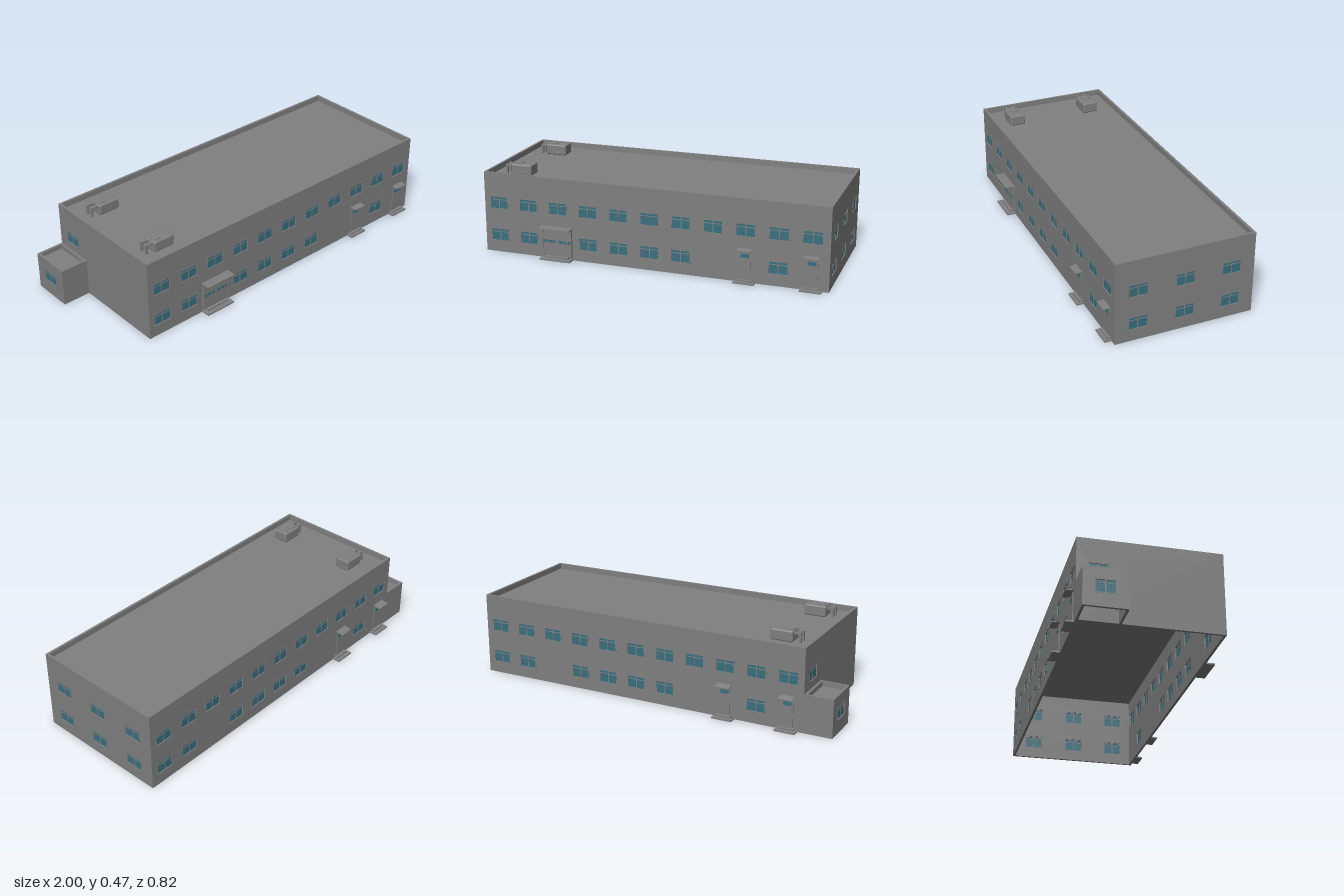
import * as THREE from 'three';
import { RoundedBoxGeometry } from 'three/addons/geometries/RoundedBoxGeometry.js';

const wallMat = new THREE.MeshStandardMaterial({ color: 0x808080, side: THREE.DoubleSide });
wallMat.name = 'wall grey';
const glassMat = new THREE.MeshStandardMaterial({ color: 0x38707f, side: THREE.DoubleSide });
glassMat.name = 'window teal';

const T = 0.013; // wall thickness
const WIN_W = 0.104, WIN_H = 0.073;
const LOW = 0.0945, HIGH = 0.272; // window centre heights

function add(parent, name, geo, mat, x = 0, y = 0, z = 0) {
  const m = new THREE.Mesh(geo, mat);
  m.name = name;
  m.position.set(x, y, z);
  parent.add(m);
  return m;
}
const box = (parent, name, w, h, d, x, y, z, mat = wallMat) =>
  add(parent, name, new THREE.BoxGeometry(w, h, d), mat, x, y, z);

// rectangular path, used for outlines and holes
function rect(path, x0, y0, x1, y1) {
  path.moveTo(x0, y0);
  path.lineTo(x1, y0);
  path.lineTo(x1, y1);
  path.lineTo(x0, y1);
  path.closePath();
  return path;
}
const extrude = (shape, depth) => new THREE.ExtrudeGeometry(shape, { depth, bevelEnabled: false });

// framed window with a mullion and a high transom, set in the wall
function addWindow(parent, x, y) {
  const g = new THREE.Group();
  g.name = 'window';
  g.position.set(x, y, 0);
  parent.add(g);
  const w = WIN_W / 2, h = WIN_H / 2, b = 0.005;
  const s = rect(new THREE.Shape(), -w, -h, w, h);
  s.holes.push(rect(new THREE.Path(), -w + b, -h + b, w - b, h - b));
  add(g, 'windowFrame', extrude(s, 0.010), wallMat, 0, 0, -0.009);
  box(g, 'glass', WIN_W - b, WIN_H - b, 0.002, 0, 0, -0.005, glassMat);
  box(g, 'mullion', 0.005, WIN_H - b, 0.006, 0, 0, -0.005);
  box(g, 'transom', WIN_W - b, 0.004, 0.006, 0, 0.016, -0.005);
}

// wall in its own frame: x along it, y up, outer face at z = 0
function addWall(root, name, x0, x1, height, windows, pos, turn) {
  const g = new THREE.Group();
  g.name = name;
  g.position.set(...pos);
  g.rotation.y = turn;
  root.add(g);
  const s = rect(new THREE.Shape(), x0, 0, x1, height);
  for (const [x, y] of windows) {
    s.holes.push(rect(new THREE.Path(), x - WIN_W / 2, y - WIN_H / 2, x + WIN_W / 2, y + WIN_H / 2));
    addWindow(g, x, y);
  }
  add(g, name + 'Panel', extrude(s, T), wallMat, 0, 0, -T);
  return g;
}

// two low steps in front of a door
function addSteps(g, x, w, reach) {
  box(g, 'lowerStep', w, 0.008, reach, x, 0.004, reach / 2);
  box(g, 'upperStep', w * 0.75, 0.008, reach * 0.5, x, 0.012, reach * 0.25);
}

// service door with sloping canopy
function addDoor(wall, x, reach, slope) {
  const g = new THREE.Group();
  g.name = 'serviceDoor';
  wall.add(g);
  box(g, 'doorLeaf', 0.06, 0.15, 0.005, x, 0.091, 0.0015);
  box(g, 'doorPane', 0.043, 0.02, 0.002, x, 0.14, 0.0045, glassMat);
  const canopy = box(g, 'canopy', 0.075, 0.004, reach, x, 0.174, reach / 2);
  canopy.rotation.x = slope;
  addSteps(g, x, 0.107, reach);
}

// wide entrance with portal, row of panes, canopy and steps
function addEntrance(wall, x) {
  const g = new THREE.Group();
  g.name = 'mainEntrance';
  wall.add(g);
  const w = 0.165;
  box(g, 'entranceDoors', w - 0.01, 0.152, 0.008, x, 0.092, 0.004);
  for (const side of [-1, 1]) {
    box(g, 'portalPost', 0.006, 0.155, 0.012, x + side * (w / 2 - 0.003), 0.0925, 0.006);
  }
  for (let i = 0; i < 6; i++) {
    const off = (i - 2.5) * 0.025 + (i < 3 ? -0.005 : 0.005);
    box(g, 'entrancePane', 0.018, 0.015, 0.002, x + off, 0.095, 0.0085, glassMat);
  }
  box(g, 'entranceCanopy', 0.172, 0.005, 0.053, x, 0.173, 0.0265);
  addSteps(g, x, 0.17, 0.048);
}

// rooftop ventilation unit with fan ring and two ducts
function addVent(root, z, floor) {
  const g = new THREE.Group();
  g.name = 'roofVent';
  g.position.set(-0.676, floor, z);
  root.add(g);
  add(g, 'ventBody', new RoundedBoxGeometry(0.118, 0.058, 0.084, 2, 0.008), wallMat, 0, 0.031, 0);
  add(g, 'fanRing', new THREE.CylinderGeometry(0.027, 0.027, 0.006, 24), wallMat, -0.027, 0.0605, 0);
  for (const s of [-1, 1]) {
    box(g, 'duct', 0.042, 0.01, 0.012, -0.076, 0.047, s * 0.018);
    box(g, 'ductDrop', 0.012, 0.046, 0.012, -0.091, 0.024, s * 0.018);
  }
}

export function createModel() {
  const root = new THREE.Group();
  root.name = 'building';
  const H = 0.435, L = -0.85, R = 1, F = 0.355, B = -0.368, ROOF = 0.405;
  const bay = (i) => -0.767 + i * 0.168;
  const bays = [...Array(11).keys()];
  const ends = [0.237, -0.005, -0.247];

  // long walls with two storeys of windows
  const frontLow = [0, 1, 3, 4, 5, 6, 9];
  const front = addWall(root, 'frontWall', L, R, H,
    [...bays.map((i) => [bay(i), HIGH]), ...frontLow.map((i) => [bay(i), LOW])], [0, 0, F], 0);
  const backLow = [1, 4, 5, 6, 7, 9, 10];
  const back = addWall(root, 'backWall', -R, -L, H,
    [...bays.map((i) => [-bay(i), HIGH]), ...backLow.map((i) => [-bay(i), LOW])], [0, 0, B], Math.PI);

  // end walls
  addWall(root, 'rightWall', -F, -B, H,
    ends.flatMap((z) => [[-z, HIGH], [-z, LOW]]), [R, 0, 0], Math.PI / 2);
  addWall(root, 'leftWall', B, F, H, [[-0.26, HIGH]], [L, 0, 0], -Math.PI / 2);

  // flat roof behind the parapet
  box(root, 'roof', R - L - T, 0.006, F - B - T, (R + L) / 2, ROOF - 0.003, (F + B) / 2);

  // doors
  addEntrance(front, -0.435);
  addDoor(front, bay(8), 0.036, 0.1);
  addDoor(front, bay(10), 0.036, 0.1);
  addDoor(back, -bay(0), 0.042, 0.2);
  addDoor(back, -bay(2), 0.042, 0.2);

  // side annex
  const AF = -0.15, AH = 0.2;
  addWall(root, 'annexFrontWall', -1, L, AH, [], [0, 0, AF], 0);
  addWall(root, 'annexBackWall', -L, 1, AH, [], [0, 0, B], Math.PI);
  addWall(root, 'annexSideWall', B, AF, AH, [[-0.26, 0.105]], [-1, 0, 0], -Math.PI / 2);
  box(root, 'annexParapet', T, 0.03, AF - B, L - T / 2, AH - 0.015, (AF + B) / 2);
  box(root, 'annexRoof', L + 1 - T, 0.006, AF - B - T, (L - 1) / 2, 0.172, (AF + B) / 2);

  addVent(root, 0.228, ROOF);
  addVent(root, -0.213, ROOF);
  return root;
}
